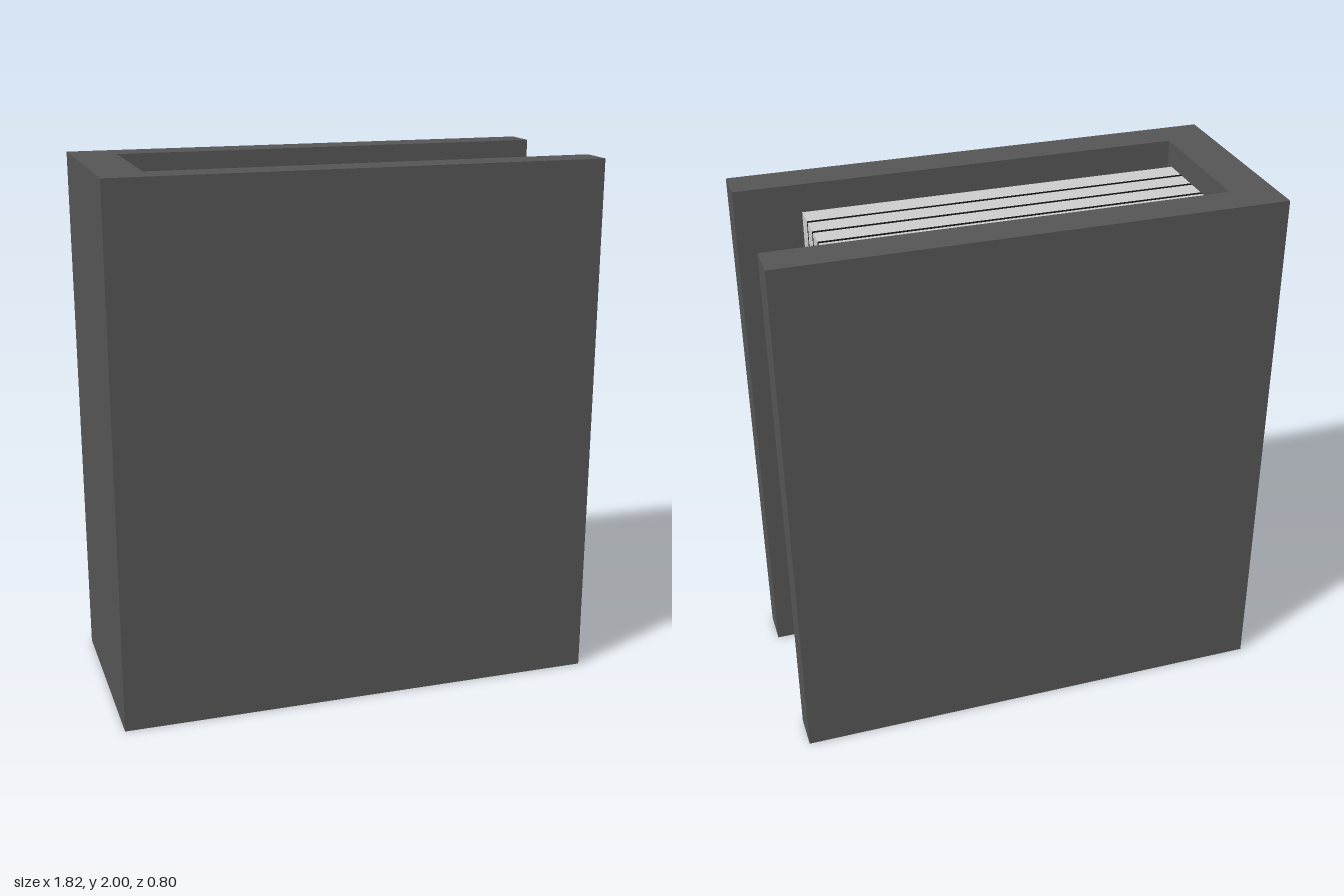
import * as THREE from 'three';

const W = 0.91, D = 0.4, H = 2;          // half width, half depth, height
const SPINE = -0.745, INNER = 0.264;     // inner face of the spine and of the boards

export function createModel() {
  const model = new THREE.Group();
  model.name = 'book';
  const coverMat = new THREE.MeshStandardMaterial({ color: 0x555555 });
  const pageMat = new THREE.MeshStandardMaterial({ color: 0xcccccc });
  const gapMat = new THREE.MeshStandardMaterial({ color: 0x111111 });

  // Cover: U-shaped plan (two boards joined by the spine) raised to full height
  const plan = new THREE.Shape([
    [-W, -D], [W, -D], [W, -INNER], [SPINE, -INNER],
    [SPINE, INNER], [W, INNER], [W, D], [-W, D],
  ].map(([x, y]) => new THREE.Vector2(x, y)));
  const coverGeo = new THREE.ExtrudeGeometry(plan, { depth: H, bevelEnabled: false });
  coverGeo.rotateX(-Math.PI / 2);
  const cover = new THREE.Mesh(coverGeo, coverMat);
  cover.name = 'cover';
  model.add(cover);

  // Page block: five bundles of pages with thin dark sheets between them
  const pages = new THREE.Group();
  pages.name = 'pages';
  model.add(pages);
  const foreEdge = 0.675, pageH = 1.82, blockD = 0.454, bundles = 5, gap = 0.014;
  const pitch = blockD / bundles;

  function addSlab(name, z0, z1, material) {
    const slab = new THREE.Mesh(new THREE.BoxGeometry(foreEdge - SPINE, pageH, z1 - z0), material);
    slab.position.set((foreEdge + SPINE) / 2, H / 2, (z0 + z1) / 2);
    slab.name = name;
    pages.add(slab);
  }

  for (let i = 0; i < bundles; i++) {
    const z0 = -blockD / 2 + i * pitch, z1 = z0 + pitch;
    const last = i === bundles - 1;
    addSlab('pageBundle', i ? z0 + gap / 2 : z0, last ? z1 : z1 - gap / 2, pageMat);
    if (!last) addSlab('pageDivider', z1 - gap / 2, z1 + gap / 2, gapMat);
  }
  return model;
}
